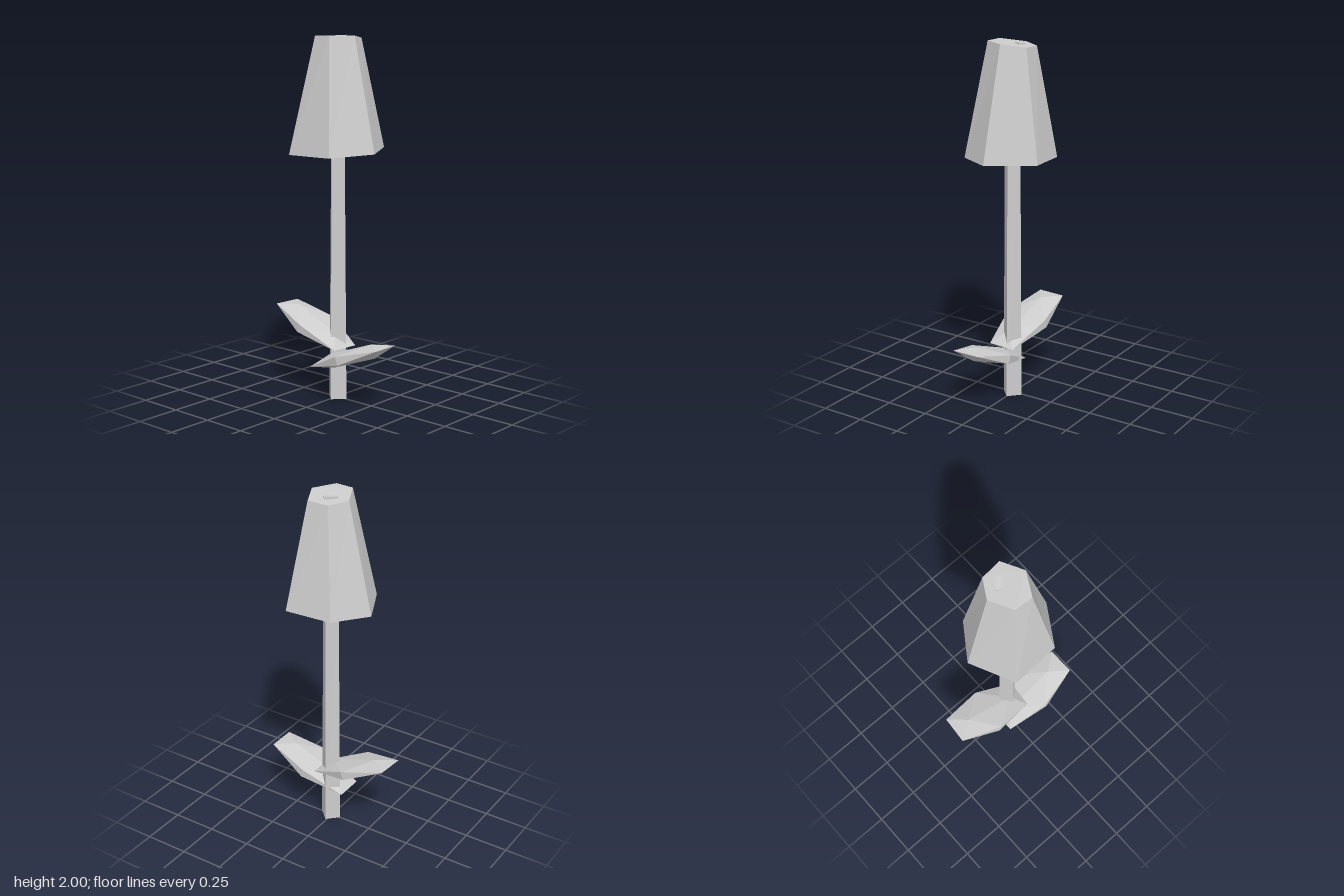
import * as THREE from 'three';

// Closed solid lofted through rings of [x, y, z] corners, each anticlockwise from above, bottom first
function loft(rings) {
  const pos = [];
  const tri = (a, b, c) => pos.push(...a, ...b, ...c);
  const n = rings[0].length, bottom = rings[0], top = rings[rings.length - 1];
  for (let r = 0; r < rings.length - 1; r++) {
    const lo = rings[r], hi = rings[r + 1];
    for (let i = 0; i < n; i++) {
      const j = (i + 1) % n;
      tri(lo[i], lo[j], hi[j]);
      tri(lo[i], hi[j], hi[i]);
    }
  }
  for (let i = 1; i < n - 1; i++) {
    tri(top[0], top[i], top[i + 1]);
    tri(bottom[0], bottom[i + 1], bottom[i]);
  }
  const geo = new THREE.BufferGeometry();
  geo.setAttribute('position', new THREE.Float32BufferAttribute(pos, 3));
  geo.computeVertexNormals();
  return geo;
}

export function createModel() {
  const group = new THREE.Group();
  const grey = new THREE.MeshStandardMaterial({ color: 0xcccccc });
  grey.name = 'lightGrey';
  grey.flatShading = true;

  const add = (name, geo) => {
    const mesh = new THREE.Mesh(geo, grey);
    mesh.name = name;
    group.add(mesh);
    return mesh;
  };

  // Four-sided stem, slightly narrower towards the top
  const diamond = (y, rx, rz) => [[0.008 + rx, y, 0], [0.008, y, -rz], [0.008 - rx, y, 0], [0.008, y, rz]];
  add('stem', loft([diamond(0, 0.063, 0.06), diamond(1.5, 0.048, 0.05)]));

  // Irregular six-sided flower head
  add('flowerHead', loft([
    [[0.272, 1.385, 0.01], [0.135, 1.392, -0.237], [-0.12, 1.38, -0.202],
      [-0.252, 1.372, -0.013], [-0.135, 1.37, 0.233], [0.14, 1.372, 0.222]],
    [[0.125, 2, 0], [0.067, 1.985, -0.124], [-0.049, 1.98, -0.115],
      [-0.11, 1.985, 0.013 - 0.025], [-0.049, 2, 0.118], [0.055, 2, 0.125]],
  ]));

  // Small bump in the middle of the top face
  add('flowerTip', loft([
    [[0.022, 1.97, -0.05], [0.003, 1.97, -0.075], [-0.044, 1.97, -0.03], [-0.043, 1.97, -0.012], [-0.01, 1.97, 0]],
    [[0.022, 1.997, -0.05], [0.003, 2, -0.075], [-0.044, 1.997, -0.03], [-0.043, 1.994, -0.012], [-0.01, 1.995, 0]],
  ]));

  // Two leaves: stretched, flattened icosahedra tilted up and outwards
  const leaf = new THREE.IcosahedronGeometry(1, 0).scale(0.297, 0.046, 0.153);
  const addLeaf = (name, x, y, z, tilt, yaw) => {
    const mesh = add(name, leaf);
    mesh.position.set(x, y, z);
    mesh.rotation.set(0, yaw, tilt, 'YZX');
  };
  addLeaf('leftLeaf', 0.155, 0.274, 0.052, 0.356, 0);
  addLeaf('rightLeaf', -0.153, 0.392, 0.008, -0.367, -0.08);

  return group;
}
